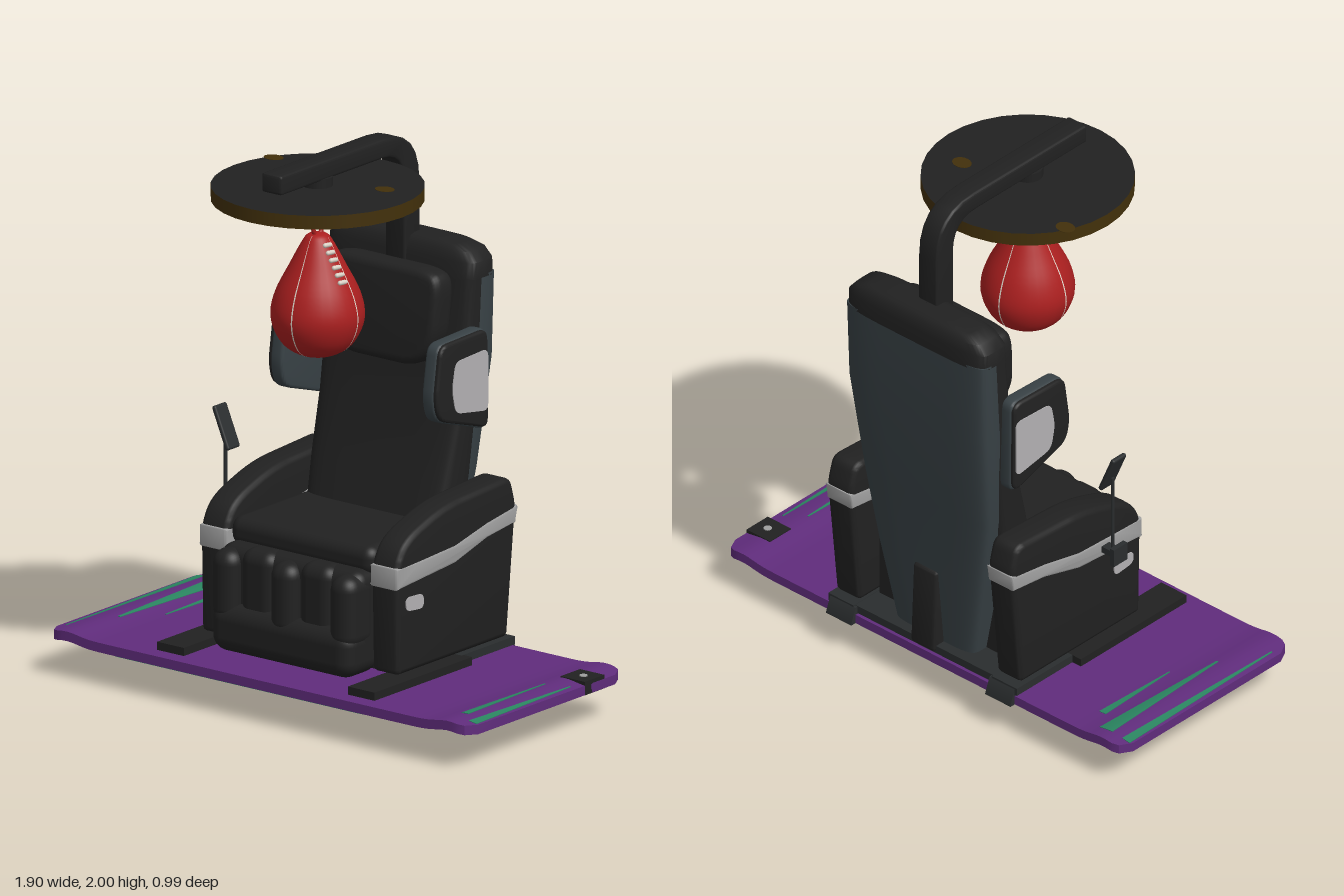
import * as THREE from 'three';
import { toCreasedNormals } from 'three/addons/utils/BufferGeometryUtils.js';
import { RoundedBoxGeometry } from 'three/addons/geometries/RoundedBoxGeometry.js';

const mat = (name, color) => Object.assign(new THREE.MeshStandardMaterial({ color }), { name });

export function createModel() {
  const model = new THREE.Group();
  model.name = 'massageChairOnBoard';
  const black = mat('black leather', 0x212121), slate = mat('slate shell', 0x384145);
  const silver = mat('silver trim', 0x9e9e9e), pale = mat('pale wing pad', 0xb2b0b2);
  const red = mat('red leather', 0xab1f1f), cream = mat('cream stitching', 0xdcd4c8);
  const purple = mat('purple deck', 0x602c7c), green = mat('green graphic', 0x2a8560);
  const brown = mat('dark wood', 0x42300b), charcoal = mat('charcoal metal', 0x2a2d2e);

  const add = (name, geo, material, x = 0, y = 0, z = 0) => {
    const m = new THREE.Mesh(geo, material);
    m.name = name;
    m.position.set(x, y, z);
    model.add(m);
    return m;
  };
  const soft = (w, h, d, r) => new RoundedBoxGeometry(w, h, d, 4, r);
  const box = (w, h, d) => new THREE.BoxGeometry(w, h, d);
  const cyl = (r1, r2, h, n = 24) => new THREE.CylinderGeometry(r1, r2, h, n);

  // Polygon of [x, y, cornerRadius] with rounded corners
  const roundShape = (pts, r0) => {
    const s = new THREE.Shape(), n = pts.length;
    pts.forEach((p, i) => {
      const c = new THREE.Vector2(p[0], p[1]), r = p[2] ?? r0;
      const cut = (q) => {
        const v = new THREE.Vector2(q[0], q[1]).sub(c), l = v.length();
        return v.multiplyScalar(Math.min(r, l * 0.48) / l).add(c);
      };
      const a = cut(pts[(i + n - 1) % n]), b = cut(pts[(i + 1) % n]);
      i ? s.lineTo(a.x, a.y) : s.moveTo(a.x, a.y);
      s.quadraticCurveTo(c.x, c.y, b.x, b.y);
    });
    s.closePath();
    return s;
  };
  // Side profile of [z, y] points given a thickness along x
  const panel = (pts, width, bevel, r) => {
    const depth = width - 2 * bevel;
    const g = new THREE.ExtrudeGeometry(roundShape(pts, r), {
      depth, curveSegments: 6, bevelEnabled: bevel > 0,
      bevelSize: bevel, bevelThickness: bevel, bevelOffset: -bevel, bevelSegments: 3,
    });
    g.translate(0, 0, -depth / 2).rotateY(-Math.PI / 2);
    return toCreasedNormals(g, 0.6);
  };
  // Closed loft through rows of [y, halfWidth, zFront, zBack]
  const loft = (rows, n = 40) => {
    const flat = ([y, , f, b]) => [y, 0.001, (f + b) / 2 + 0.001, (f + b) / 2 - 0.001];
    const all = [flat(rows[0]), ...rows, flat(rows[rows.length - 1])], pos = [], idx = [];
    const pw = (v) => Math.sign(v) * Math.abs(v) ** 0.4;
    all.forEach(([y, w, f, b], j) => {
      for (let i = 0; i < n; i++) {
        const a = (i / n) * Math.PI * 2;
        pos.push(w * pw(Math.cos(a)), y, (f + b) / 2 + ((f - b) / 2) * pw(Math.sin(a)));
        if (j === all.length - 1) continue;
        const p = j * n + i, q = j * n + ((i + 1) % n);
        idx.push(p, p + n, q, q, p + n, q + n);
      }
    });
    const g = new THREE.BufferGeometry();
    g.setAttribute('position', new THREE.Float32BufferAttribute(pos, 3));
    g.setIndex(idx);
    return toCreasedNormals(g, 0.7);
  };

  // Board: slab with rounded corners and a gentle lift near both ends
  const lift = (x) => 0.014 * Math.exp(-(((Math.abs(x) - 0.86) / 0.07) ** 2));
  const deck = new THREE.BoxGeometry(1.9, 0.035, 0.89, 80, 1, 1), dp = deck.attributes.position;
  for (let i = 0; i < dp.count; i++) {
    const x = dp.getX(i), c = Math.max(0, 0.06 - (0.95 - Math.abs(x)));
    const half = 0.385 + Math.sqrt(0.0036 - Math.min(c * c, 0.0036));
    dp.setXYZ(i, x, dp.getY(i) + lift(x), Math.sign(dp.getZ(i)) * half);
  }
  add('board', toCreasedNormals(deck, 0.6), purple, 0, 0.1425, 0.015);

  // Underside graphic: solid patch at the front centre, stripes toward the left rear
  const patch = new THREE.ExtrudeGeometry(
    roundShape([[0.55, 0.455], [-0.72, 0.455], [-0.3, 0.05], [0.05, -0.2], [0.35, 0.05]], 0.1),
    { depth: 0.004, bevelEnabled: false }).rotateX(Math.PI / 2);
  add('boardUndersidePatch', patch, green, 0, 0.126, 0);
  for (let i = 0; i < 8; i++) {
    add('boardUndersideStripe', box(0.72 - i * 0.02, 0.003, 0.034), green, 0.45 - i * 0.03, 0.1245, 0.3 - i * 0.09);
  }

  // Tapering green streaks running along the board ends
  const streak = (sx, x0, w, z0, z1) => {
    const g = new THREE.BoxGeometry(w, 0.004, 1, 6, 1, 1), p = g.attributes.position;
    for (let i = 0; i < p.count; i++) {
      const t = p.getZ(i) + 0.5, x = sx * x0 + p.getX(i) * (0.15 + 0.85 * t);
      p.setXYZ(i, x, p.getY(i) + 0.16 + lift(x), z0 + (z1 - z0) * t);
    }
    if (z1 < z0) g.setIndex([...g.index.array].reverse());
    g.computeVertexNormals();
    add('endStreak', g, green);
  };
  streak(-1, 0.925, 0.035, 0.38, -0.38);
  streak(-1, 0.83, 0.06, 0.2, -0.38);
  streak(-1, 0.74, 0.03, 0.05, -0.3);
  streak(1, 0.925, 0.035, -0.15, 0.4);
  streak(1, 0.85, 0.03, -0.1, 0.35);
  add('cornerPad', box(0.11, 0.05, 0.11), black, 0.895, 0.152, -0.255);
  add('cornerPadButton', cyl(0.015, 0.015, 0.004, 16), silver, 0.9, 0.178, -0.255);

  // Dumbbell under the board
  add('dumbbellHandle', cyl(0.02, 0.02, 0.3, 16).rotateZ(Math.PI / 2), silver, 0, 0.108, 0.025);
  for (const s of [-1, 1]) {
    add('dumbbellWeight', cyl(0.115, 0.115, 0.075, 16).rotateZ(Math.PI / 2), black, s * 0.165, 0.115, 0.025);
    add('dumbbellCollar', cyl(0.085, 0.085, 0.13, 16).rotateZ(Math.PI / 2), black, s * 0.185, 0.115, 0.025);
    add('dumbbellCap', cyl(0.03, 0.03, 0.14, 12).rotateZ(Math.PI / 2), charcoal, s * 0.188, 0.115, 0.025);
  }

  // Arms, trim, floor rails and side wings, mirrored
  const armProfile = [[0.22, 0.2], [0.228, 0.6, 0.05], [0.17, 0.69, 0.08], [-0.05, 0.765, 0.1],
    [-0.42, 0.785, 0.04], [-0.45, 0.68, 0.03], [-0.4, 0.2]];
  const band = [[0.229, 0.515], [0.229, 0.595], [0.1, 0.6], [-0.1, 0.61], [-0.28, 0.65], [-0.452, 0.675],
    [-0.443, 0.61], [-0.28, 0.59], [-0.1, 0.54]];
  const wing = [[-0.1, 1.325], [-0.37, 1.335], [-0.375, 0.955], [-0.09, 1.045], [-0.07, 1.13]];
  const wingFace = [[-0.103, 1.322], [-0.366, 1.33], [-0.37, 0.963], [-0.094, 1.049], [-0.074, 1.13]];
  const wingPad = [[-0.18, 1.25], [-0.362, 1.258], [-0.362, 1.03], [-0.18, 1.06], [-0.16, 1.15]];
  for (const s of [-1, 1]) {
    add('armrest', panel(armProfile, 0.12, 0.02, 0.02), black, s * 0.385);
    add('armrestBand', panel(band, 0.124, 0.01, 0.004), silver, s * 0.385);
    add('armrestBadge', panel([[0.18, 0.43], [0.18, 0.48], [0.08, 0.475], [0.08, 0.42]], 0.008, 0, 0.025), pale, s * 0.445);
    add('floorRail', box(0.12, 0.03, 0.55), black, s * 0.43, 0.18, 0.135);
    add('floorRailRear', box(0.12, 0.03, 0.3), charcoal, s * 0.39, 0.18, -0.28);
    add('rearFoot', panel([[-0.4, 0.19], [-0.43, 0.19], [-0.455, 0.125], [-0.4, 0.125]], 0.12, 0, 0.005), charcoal, s * 0.38);
    add('wingShell', panel(wing, 0.055, 0.012, 0.04), slate, s * 0.342);
    add('wingFace', panel(wingFace, 0.036, 0.01, 0.04), black, s * 0.364);
    add('wingPad', panel(wingPad, 0.008, 0, 0.03), pale, s * 0.381);
  }
  add('rearCrossPlate', box(0.66, 0.03, 0.12), charcoal, 0, 0.178, -0.36);

  // Seat and leg rest
  add('seatBase', box(0.64, 0.4, 0.45), black, 0, 0.38, -0.08);
  add('seatCushion', soft(0.65, 0.11, 0.5, 0.045), black, 0, 0.59, -0.03);
  add('legRestBack', soft(0.64, 0.37, 0.18, 0.05), black, 0, 0.38, 0.2);
  add('legRestFoot', soft(0.64, 0.18, 0.2, 0.06), black, 0, 0.27, 0.245);
  for (const [x, w] of [[-0.265, 0.115], [0, 0.12], [0.265, 0.115]]) {
    add('calfDivider', soft(w, 0.27, 0.16, 0.055), black, x, 0.42, 0.26);
  }
  for (const x of [-0.132, 0.132]) add('calfPad', soft(0.155, 0.34, 0.12, 0.05), black, x, 0.4, 0.25);

  // Backrest
  add('backCushion', loft([[0.55, 0.3, -0.14, -0.34], [0.78, 0.315, -0.2, -0.38], [1, 0.32, -0.26, -0.4],
    [1.25, 0.325, -0.3, -0.43], [1.52, 0.325, -0.325, -0.45]]), black);
  add('backShell', loft([[0.19, 0.19, -0.25, -0.38], [0.5, 0.25, -0.28, -0.41], [0.8, 0.3, -0.3, -0.435],
    [1.2, 0.329, -0.355, -0.483], [1.51, 0.331, -0.38, -0.49]]), slate);
  add('backTop', loft([[1.5, 0.332, -0.32, -0.492], [1.56, 0.33, -0.325, -0.492], [1.595, 0.3, -0.335, -0.485],
    [1.613, 0.24, -0.35, -0.47], [1.62, 0.14, -0.37, -0.45]]), black);
  const pillow = add('headPillow', toCreasedNormals(new THREE.ExtrudeGeometry(
    roundShape([[-0.2, 0.18], [0.2, 0.18], [0.26, 0.15], [0.25, -0.08], [0.17, -0.18], [-0.17, -0.18], [-0.25, -0.08], [-0.26, 0.15]], 0.07),
    { depth: 0.04, bevelSize: 0.03, bevelThickness: 0.035, bevelOffset: -0.03, bevelSegments: 4, curveSegments: 6 }), 0.7),
  black, 0, 1.355, -0.295);
  pillow.rotation.x = -0.07;
  add('backPost', panel([[-0.36, 0.17], [-0.36, 0.5], [-0.42, 0.5], [-0.435, 0.17]], 0.11, 0.01, 0.02), black);

  // Remote on its stalk
  add('remoteBracket', box(0.08, 0.025, 0.04), charcoal, -0.48, 0.565, 0.035);
  add('remoteKnob', box(0.02, 0.07, 0.07), charcoal, -0.51, 0.565, 0.035);
  add('remoteStalk', cyl(0.007, 0.007, 0.31, 10), charcoal, -0.482, 0.72, 0.035);
  add('remote', soft(0.018, 0.165, 0.07, 0.008), charcoal, -0.48, 0.9, 0.035).rotation.z = 0.4;

  // Overhead arm and rebound platform
  add('overheadArm', panel([[0.38, 2, 0.01], [-0.405, 2, 0.2], [-0.405, 1.5, 0.01], [-0.315, 1.5, 0.01],
    [-0.315, 1.93, 0.12], [0.38, 1.93, 0.01]], 0.09, 0.01), black);
  add('platform', cyl(0.378, 0.378, 0.05, 32), [brown, black, black], 0, 1.877, 0.118);
  add('platformMount', cyl(0.055, 0.055, 0.04), black, 0, 1.916, 0.118);
  for (const [x, z] of [[-0.325, -0.04], [0.22, 0.015]]) {
    add('platformSpot', cyl(0.038, 0.038, 0.002, 20), brown, x, 1.902, z).scale.z = 0.8;
  }
  add('swivelPlate', cyl(0.085, 0.075, 0.022), black, 0, 1.842, 0.118);
  add('swivelBlock', box(0.07, 0.04, 0.07), charcoal, 0, 1.82, 0.118);
  add('swivelPin', cyl(0.014, 0.014, 0.06, 12), silver, 0, 1.785, 0.118);
  add('bagLoop', new THREE.TorusGeometry(0.024, 0.008, 8, 20).rotateY(Math.PI / 2), red, 0, 1.742, 0.118);

  // Speed bag with flush seams and lacing
  const curve = new THREE.SplineCurve([[0, 1.272], [0.075, 1.288], [0.135, 1.335], [0.167, 1.42], [0.15, 1.51],
    [0.1, 1.61], [0.058, 1.69], [0.035, 1.72], [0, 1.728]].map(([r, y]) => new THREE.Vector2(r, y)));
  const prof = curve.getPoints(36).map((p) => new THREE.Vector2(Math.max(0, p.x), p.y));
  add('speedBag', new THREE.LatheGeometry(prof, 32), red, 0, 0, 0.118);
  const seam = prof.slice(4, 33).map((p) => new THREE.Vector2(p.x + 0.002, p.y));
  for (let k = 0; k < 4; k++) {
    add('bagSeam', new THREE.LatheGeometry(seam, 1, 0.08 + (k * Math.PI) / 2, 0.035), cream, 0, 0, 0.118);
  }
  for (let i = 0; i < 6; i++) {
    const y = 1.57 + i * 0.025, r = 0.127 - (y - 1.57) * 0.54;
    add('bagLace', new THREE.CapsuleGeometry(0.0085, 0.028, 4, 10).rotateX(Math.PI / 2 - 0.1), cream, r, y, 0.137);
  }
  return model;
}
